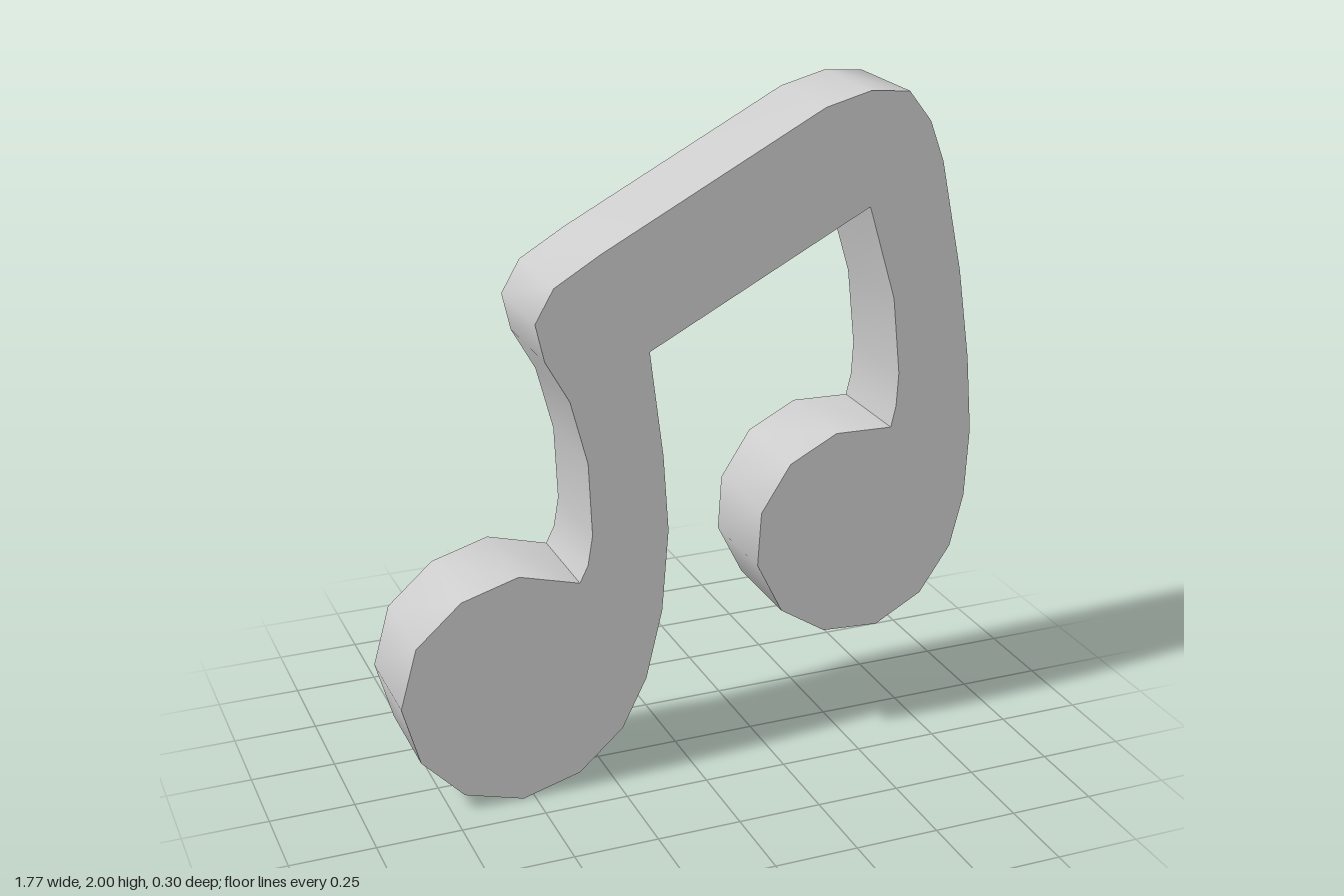
import * as THREE from 'three';
import { toCreasedNormals } from 'three/addons/utils/BufferGeometryUtils.js';

const DEPTH = 0.3;

// Outline sections, counter-clockwise as seen from the front
const leftHead = [
  [-0.35, 0.66], [-0.53, 0.71], [-0.7, 0.66], [-0.835, 0.54], [-0.885, 0.36], [-0.835, 0.18],
  [-0.71, 0.05], [-0.535, 0.0], [-0.36, 0.05], [-0.225, 0.17], [-0.15, 0.32], [-0.1, 0.53],
];
const leftStemInner = [[-0.08, 0.78], [-0.095, 1.01], [-0.135, 1.325]];
const rightStemInner = [[0.53, 1.67], [0.615, 1.39], [0.64, 1.16], [0.635, 1.06], [0.62, 0.995]];
const rightHead = [
  [0.445, 1.0], [0.3, 0.925], [0.21, 0.785], [0.2, 0.62], [0.28, 0.46], [0.42, 0.37],
  [0.595, 0.36], [0.74, 0.44], [0.835, 0.58], [0.875, 0.74],
];
const rightStemOuter = [[0.885, 0.95], [0.865, 1.18], [0.825, 1.45], [0.755, 1.78]];
const beamTop = [
  [0.71, 1.9], [0.64, 1.99], [0.52, 2.0], [0.385, 1.965], [-0.275, 1.62], [-0.41, 1.54], [-0.465, 1.445],
];
const leftStemOuter = [[-0.44, 1.335], [-0.37, 1.21], [-0.32, 1.02], [-0.31, 0.8], [-0.325, 0.71]];

export function createModel() {
  const outline = [
    ...leftHead, ...leftStemInner, ...rightStemInner, ...rightHead,
    ...rightStemOuter, ...beamTop, ...leftStemOuter,
  ].map(([x, y]) => new THREE.Vector2(x, y));

  // One solid slab: two note heads, two stems and the slanted beam
  const slab = new THREE.ExtrudeGeometry(new THREE.Shape(outline), { depth: DEPTH, bevelEnabled: false });
  slab.translate(0, 0, -DEPTH / 2);

  // Smooth around the rim, sharp at the faces and inner corners
  const note = new THREE.Mesh(
    toCreasedNormals(slab, THREE.MathUtils.degToRad(50)),
    new THREE.MeshStandardMaterial({ color: 0xcccccc }),
  );
  note.name = 'beamedMusicNote';

  const model = new THREE.Group();
  model.name = 'musicNote';
  model.add(note);
  return model;
}
